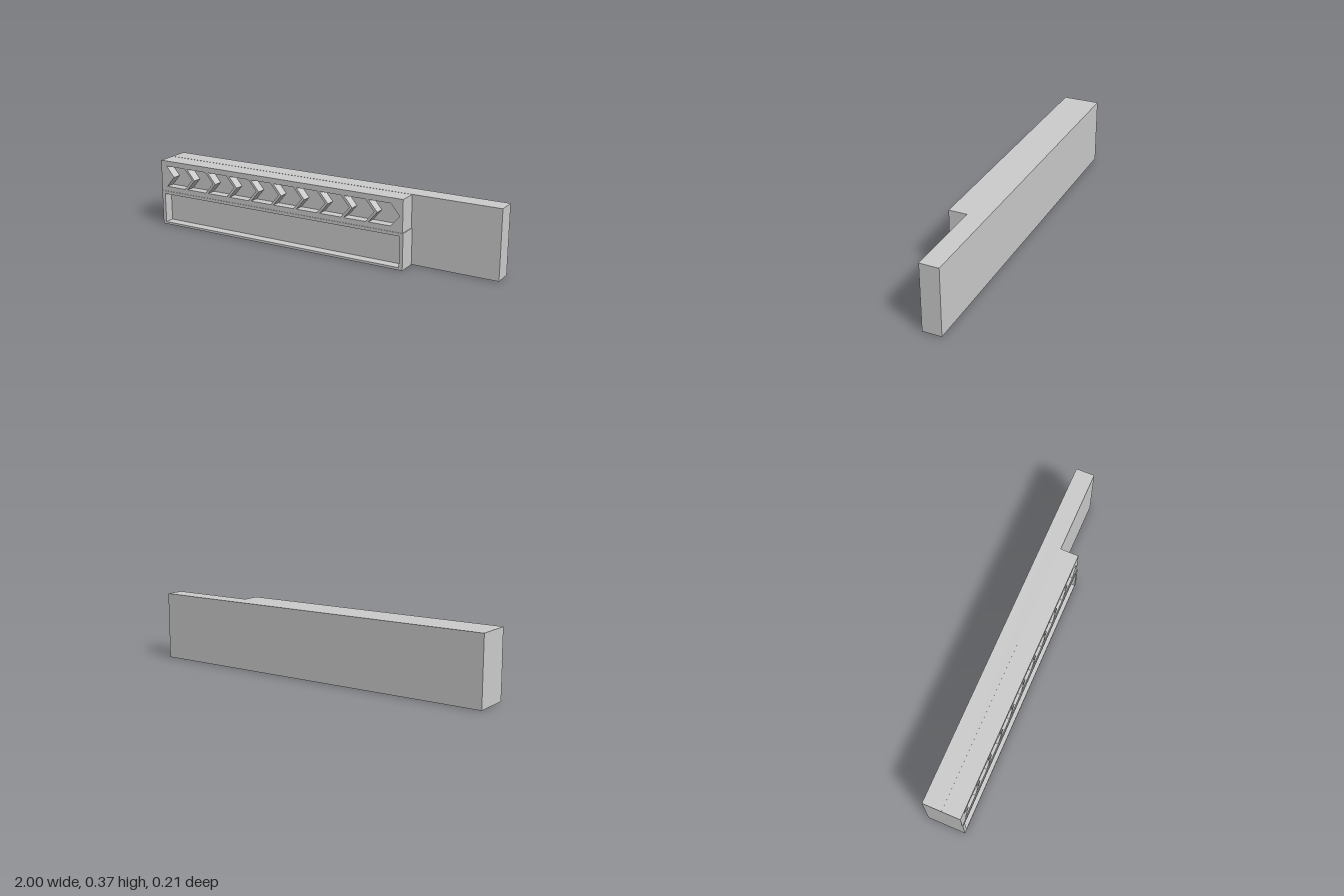
import * as THREE from 'three';

const material = new THREE.MeshStandardMaterial({ color: 0xcccccc, flatShading: true });

function rectangle(Type, x0, x1, y0, y1) {
  return new Type([[x0, y0], [x1, y0], [x1, y1], [x0, y1]].map(([x, y]) => new THREE.Vector2(x, y)));
}

function box(name, x0, x1, y0, y1, z0, z1) {
  const mesh = new THREE.Mesh(new THREE.BoxGeometry(x1 - x0, y1 - y0, z1 - z0), material);
  mesh.position.set((x0 + x1) / 2, (y0 + y1) / 2, (z0 + z1) / 2);
  mesh.name = name;
  return mesh;
}

// A front plate with pockets cut through it, over a solid core that forms their floor
function pocketBlock(name, x0, x1, y0, y1, floorZ, frontZ, holes) {
  const group = new THREE.Group();
  group.name = name;
  const shape = rectangle(THREE.Shape, x0, x1, y0, y1);
  shape.holes.push(...holes);
  const plate = new THREE.Mesh(
    new THREE.ExtrudeGeometry(shape, { depth: frontZ - floorZ, bevelEnabled: false }), material);
  plate.position.z = floorZ;
  plate.name = name + 'Face';
  group.add(plate, box(name + 'Core', x0, x1, y0, y1, 0, floorZ));
  return group;
}

// Arrow-shaped pocket: notched on the left, pointed on the right
function chevron(x) {
  const low = 0.225, mid = 0.284, high = 0.343, width = 0.126, point = 0.05;
  return new THREE.Path([
    [x, low], [x + width, low], [x + width + point, mid],
    [x + width, high], [x, high], [x + point, mid],
  ].map(([px, py]) => new THREE.Vector2(px, py)));
}

export function createModel() {
  const model = new THREE.Group();
  model.name = 'chevronPanel';

  // Full-length back slab
  model.add(box('backSlab', -1, 1, 0.001, 0.374, -0.104, 0));

  // Lower block with one long tray pocket
  const tray = rectangle(THREE.Path, -0.979, 0.505, 0.013, 0.18);
  model.add(pocketBlock('trayBlock', -1, 0.525, 0, 0.197, 0.05, 0.104, [tray]));

  // Upper block with a row of chevron pockets
  const chevrons = [];
  for (let i = 0; i < 10; i++) chevrons.push(chevron(-0.963 + i * 0.1433));
  model.add(pocketBlock('chevronBlock', -1, 0.52, 0.197, 0.373, 0.05, 0.101, chevrons));

  return model;
}
